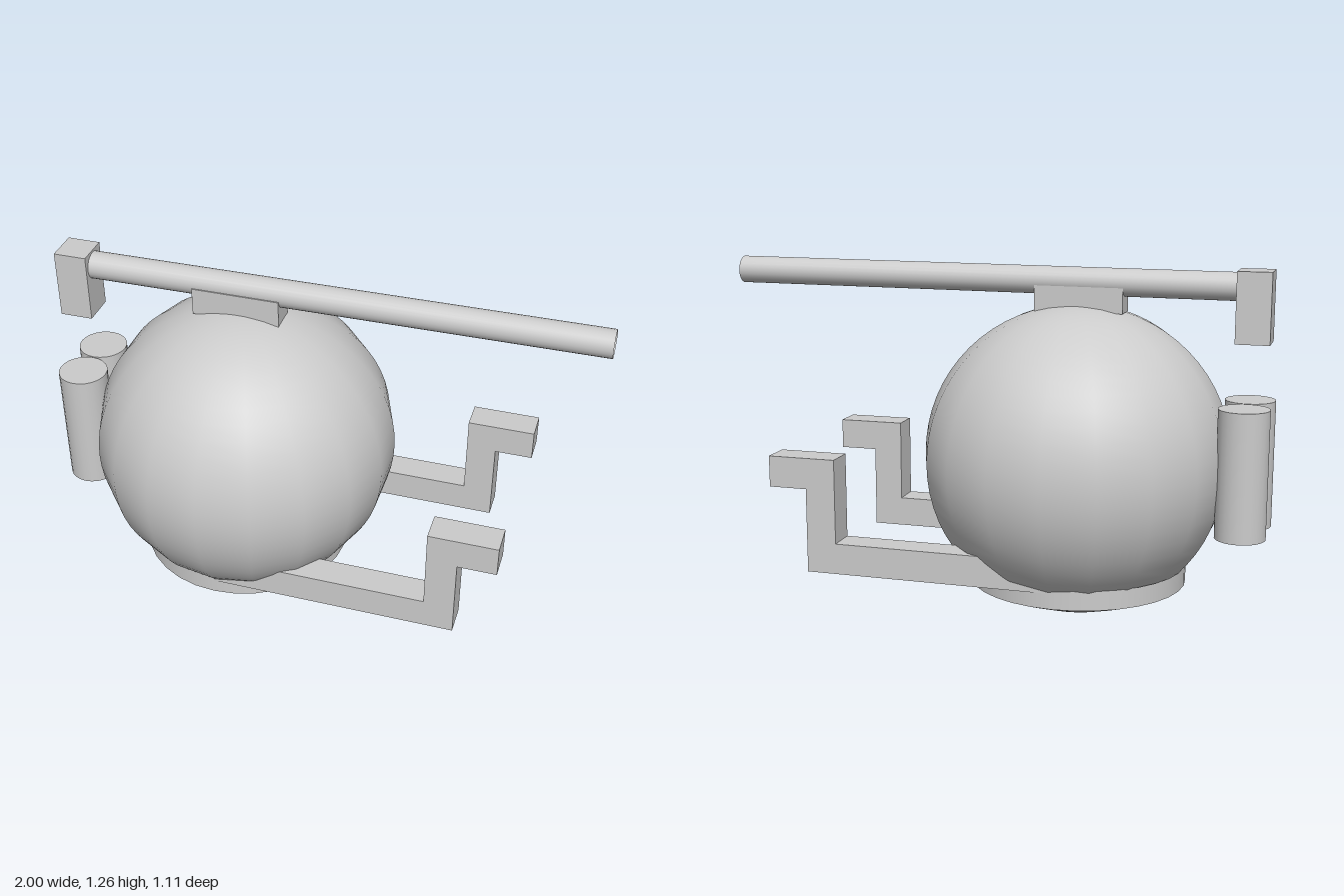
import * as THREE from 'three';

const mat = new THREE.MeshStandardMaterial({ color: 0xcccccc });
const open = new THREE.MeshStandardMaterial({ color: 0xcccccc, side: THREE.DoubleSide });

export function createModel() {
  const model = new THREE.Group();
  const add = (name, geo, x, y, z, material = mat) => {
    const mesh = new THREE.Mesh(geo, material);
    mesh.name = name;
    mesh.position.set(x, y, z);
    model.add(mesh);
    return mesh;
  };

  // Round body, 18 sides with a corner on the z axis
  const ball = new THREE.SphereGeometry(0.557, 18, 32);
  ball.rotateY(Math.PI / 2);
  add('body', ball, -0.3, 0.567, 0);

  // Shallow bowl under the body, then its short upright rim
  const bowl = [[0, 0.003], [0.08, 0.008], [0.18, 0.033], [0.29, 0.073], [0.395, 0.113]];
  add('bowl', new THREE.LatheGeometry(bowl.map(p => new THREE.Vector2(...p)), 32), -0.31, 0, 0, open);
  add('bowlRim', new THREE.CylinderGeometry(0.395, 0.395, 0.07, 32, 1, true), -0.31, 0.148, 0, open);

  // Long hollow barrel, rising slightly towards its open end
  const barrel = add('barrel', new THREE.CylinderGeometry(0.05, 0.05, 1.87, 24, 1, true), 0.065, 1.21, -0.006, open);
  barrel.rotation.z = -Math.PI / 2 + 0.006;
  add('barrelMount', new THREE.BoxGeometry(0.32, 0.1, 0.1), -0.31, 1.15, -0.003);
  add('barrelEndBlock', new THREE.BoxGeometry(0.12, 0.25, 0.125), -0.925, 1.137, -0.005);

  // Twin tanks on the back of the body
  for (const z of [0.087, -0.097]) {
    add('tank', new THREE.CylinderGeometry(0.09, 0.09, 0.46, 24), -0.91, 0.565, z);
  }

  // Stepped arms: forward, up, forward
  const outline = [[-0.3, 0.168], [0.6, 0.168], [0.6, 0.475], [0.74, 0.475],
    [0.74, 0.588], [0.49, 0.588], [0.49, 0.28], [-0.3, 0.28]];
  const shape = new THREE.Shape(outline.map(p => new THREE.Vector2(...p)));
  const armGeo = new THREE.ExtrudeGeometry(shape, { depth: 0.11, bevelEnabled: false });
  armGeo.translate(0, 0, -0.055);
  for (const z of [0.342, -0.338]) add('arm', armGeo, 0, 0, z);

  return model;
}
